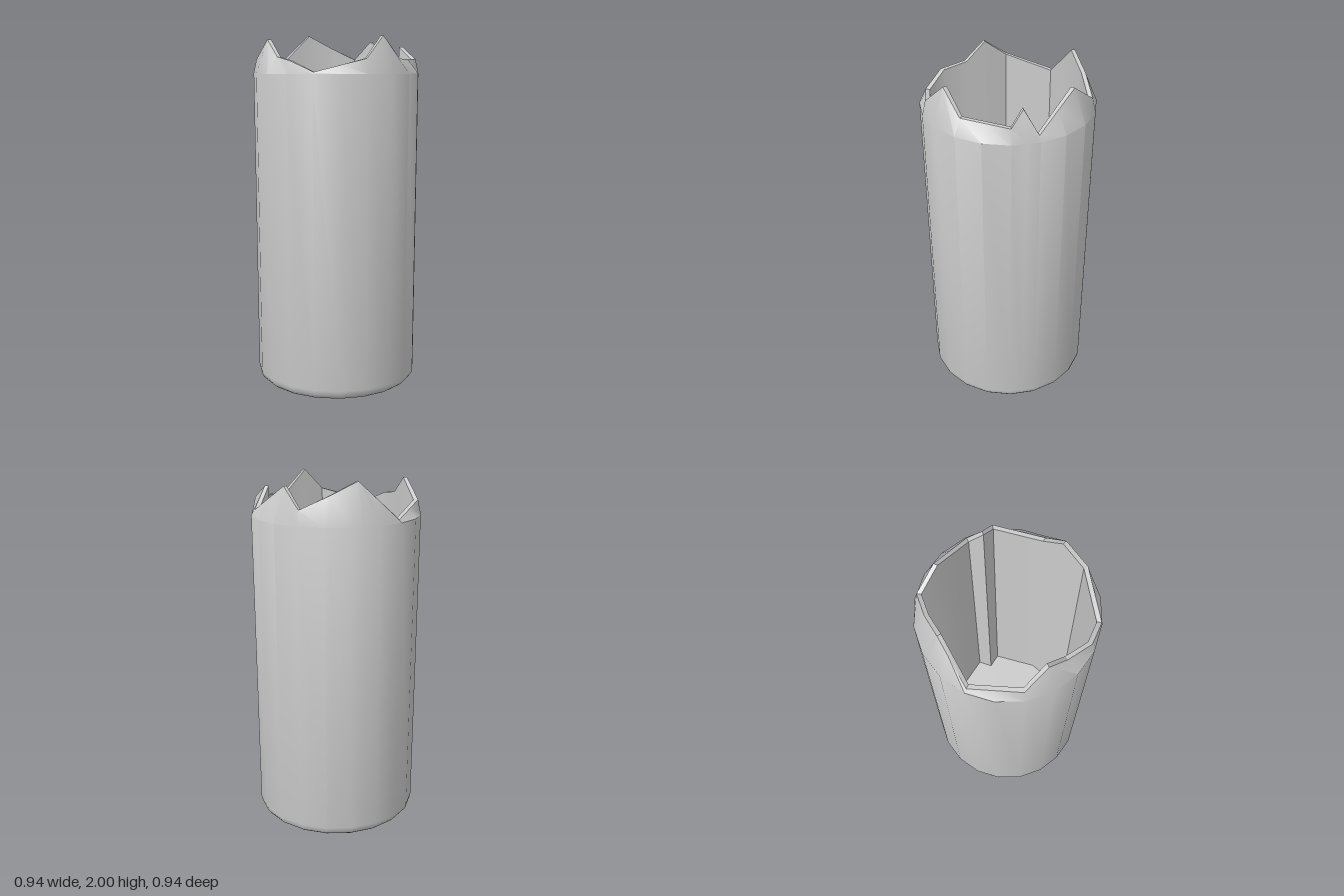
import * as THREE from 'three';
import { toCreasedNormals } from 'three/addons/utils/BufferGeometryUtils.js';

const SIDES = 20;
const STEP = (Math.PI * 2) / SIDES;

// Tips and notches of the broken edge: x, height, z, in order around the axis
const EDGE = [
  [0.45, 1.81, 0], [0.385, 1.93, 0.06], [0.43, 1.86, 0.14], [0.24, 1.86, 0.34],
  [0.12, 1.98, 0.385], [0, 1.86, 0.45], [-0.27, 1.79, 0.38], [-0.365, 1.85, 0.265],
  [-0.385, 1.87, 0.12], [-0.405, 1.965, 0], [-0.43, 1.86, -0.14], [-0.265, 1.795, -0.365],
  [-0.04, 2, -0.39], [0.11, 1.93, -0.39], [0.265, 1.86, -0.365], [0.32, 1.965, -0.235],
].map((p) => new THREE.Vector3(...p));

const angleOf = (p) => (Math.atan2(p.z, p.x) + Math.PI * 2) % (Math.PI * 2);

// Every wall column and every edge point gets its own angle
function columnAngles() {
  const all = EDGE.map(angleOf);
  for (let i = 0; i < SIDES; i++) {
    if (all.every((a) => Math.abs(a - i * STEP) > 0.03)) all.push(i * STEP);
  }
  return all.sort((a, b) => a - b);
}

// Point of the broken edge at an angle, on the straight line between two tips
function edgePoint(angle) {
  for (let i = 0; i < EDGE.length; i++) {
    const p = EDGE[i];
    const q = EDGE[(i + 1) % EDGE.length];
    const end = angleOf(q) || Math.PI * 2;
    if (angle < angleOf(p) - 1e-6 || angle >= end - 1e-6) continue;
    const c = Math.cos(angle), s = Math.sin(angle);
    const dp = p.z * c - p.x * s;
    const dq = q.z * c - q.x * s;
    return p.clone().lerp(q, dp / (dp - dq));
  }
  return EDGE[0].clone();
}

// Faceted ring of the wall at height y
function ring(angles, radius, y) {
  return angles.map((a) => {
    // angles close to a column take the column itself
    const near = Math.round(a / STEP) * STEP;
    const t = Math.abs(a - near) < 0.03 ? near : a;
    const offset = t - (Math.floor(t / STEP + 1e-6) + 0.5) * STEP;
    const r = (radius * Math.cos(STEP / 2)) / Math.cos(offset);
    return new THREE.Vector3(r * Math.cos(t), y, r * Math.sin(t));
  });
}

// Joins rows of points; the front lies outside when the rows go upward
function loft(rows, crease) {
  const out = [];
  const tri = (a, b, c) => {
    const n = b.clone().sub(a).cross(c.clone().sub(a));
    if (n.length() > 1e-9) out.push(...a.toArray(), ...b.toArray(), ...c.toArray());
  };
  for (let r = 0; r + 1 < rows.length; r++) {
    const lo = rows[r], hi = rows[r + 1];
    for (let i = 0; i < lo.length; i++) {
      const j = (i + 1) % lo.length;
      tri(lo[i], hi[i], hi[j]);
      tri(lo[i], hi[j], lo[j]);
    }
  }
  const geometry = new THREE.BufferGeometry();
  geometry.setAttribute('position', new THREE.Float32BufferAttribute(out, 3));
  return toCreasedNormals(geometry, crease);
}

export function createModel() {
  const group = new THREE.Group();
  group.name = 'brokenBottle';
  const material = new THREE.MeshStandardMaterial({ color: 0xcccccc });
  const add = (name, geometry) => {
    const mesh = new THREE.Mesh(geometry, material);
    mesh.name = name;
    group.add(mesh);
  };

  const angles = columnAngles();
  const outerEdge = angles.map(edgePoint);
  const shrink = new THREE.Vector3(0.945, 1, 0.945);
  const innerEdge = outerEdge.map((p) => p.clone().multiply(shrink));
  const floor = innerEdge.map((p) => new THREE.Vector3(p.x, 0.05, p.z));
  const centre = (y) => angles.map(() => new THREE.Vector3(0, y, 0));

  // Wall with a rounded foot and a shoulder that leans in to the broken edge
  const foot = [[0.43, 0], [0.446, 0.012], [0.46, 0.03], [0.465, 0.055], [0.47, 1.78]];
  const wall = foot.map(([r, y]) => ring(angles, r, y));
  add('outerWall', loft([...wall, outerEdge], 0.6));
  add('base', loft([centre(0), wall[0]], 0.1));

  // Thickness of the material along the break
  add('brokenRim', loft([outerEdge, innerEdge], 0.3));

  // Hollow inside
  add('innerWall', loft([innerEdge, floor], 0.6));
  add('innerFloor', loft([floor, centre(0.05)], 0.1));
  return group;
}
